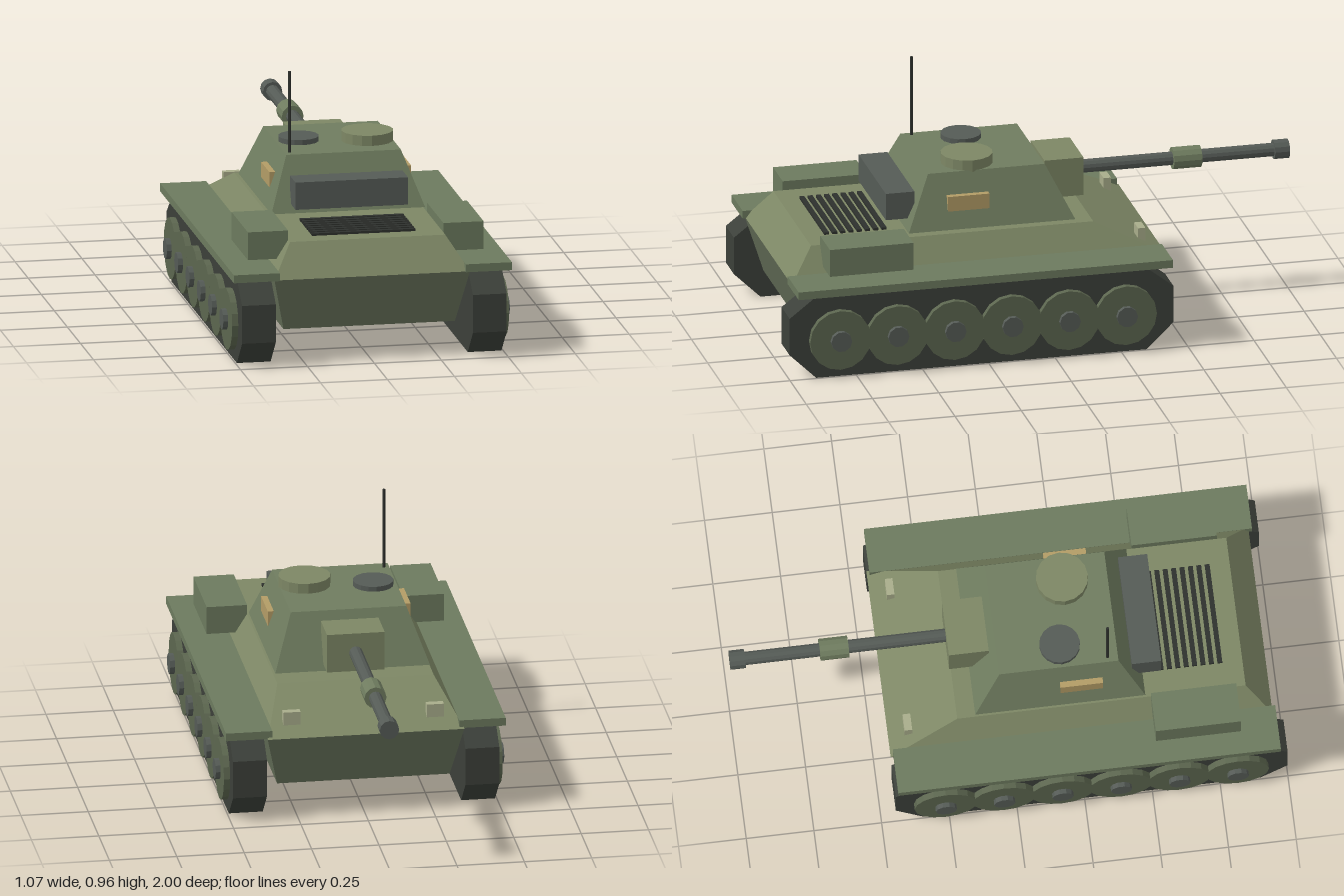
import * as THREE from 'three';

const paint = (color) => new THREE.MeshStandardMaterial({ color, flatShading: true });
const MAT = {
  hull: paint(0x7d8765), lower: paint(0x66715a), turret: paint(0x6f7c5f), fender: paint(0x6c7a5e),
  track: paint(0x3c403a), wheel: paint(0x5c664f), metal: paint(0x555b56), dark: paint(0x2e312d),
  tan: paint(0xb39c66), lamp: paint(0xa9ad8b),
};

export function createModel() {
  const model = new THREE.Group();
  model.name = 'tank';

  const add = (name, geometry, material, x = 0, y = 0, z = 0, parent = model) => {
    const mesh = new THREE.Mesh(geometry, material);
    mesh.name = name;
    mesh.position.set(x, y, z);
    parent.add(mesh);
    return mesh;
  };

  // Box given by its limits on each axis
  const block = (name, material, [x0, x1], [y0, y1], [z0, z1], parent) =>
    add(name, new THREE.BoxGeometry(x1 - x0, y1 - y0, z1 - z0), material,
      (x0 + x1) / 2, (y0 + y1) / 2, (z0 + z1) / 2, parent);

  // Block whose bottom and top rectangles differ: { y, x: half width, z: [front, rear] }
  const taperedBlock = (name, material, bottom, top) => {
    const g = new THREE.BoxGeometry(2, 2, 2);
    const p = g.attributes.position;
    for (let i = 0; i < p.count; i++) {
      const level = p.getY(i) > 0 ? top : bottom;
      p.setXYZ(i, Math.sign(p.getX(i)) * level.x, level.y, level.z[p.getZ(i) > 0 ? 1 : 0]);
    }
    g.computeVertexNormals();
    return add(name, g, material);
  };

  // Cylinder lying along z between two limits
  const rod = (name, material, radius, z0, z1, y) => {
    const g = new THREE.CylinderGeometry(radius, radius, z1 - z0, 12).rotateX(Math.PI / 2);
    return add(name, g, material, 0, y, (z0 + z1) / 2);
  };

  // Hull
  taperedBlock('lowerHull', MAT.lower,
    { y: 0.12, x: 0.32, z: [-0.38, 0.9] }, { y: 0.32, x: 0.365, z: [-0.445, 0.96] });
  taperedBlock('upperHull', MAT.hull,
    { y: 0.32, x: 0.365, z: [-0.45, 0.96] }, { y: 0.44, x: 0.29, z: [-0.195, 0.87] });

  // Engine grille slats on the rear deck
  for (let i = 0; i < 8; i++) {
    const z = 0.57 + i * 0.031;
    block('grilleSlat', MAT.dark, [-0.193, 0.193], [0.43, 0.449], [z - 0.009, z + 0.009]);
  }

  // Running gear, fender, stowage box and headlight on each side
  const trackProfile = [[0.9, 0], [1, 0.097], [1, 0.24], [0.9, 0.318],
    [-0.347, 0.318], [-0.447, 0.24], [-0.447, 0.097], [-0.347, 0]];
  const trackShape = new THREE.Shape(trackProfile.map(([z, y]) => new THREE.Vector2(-z, y)));
  const trackGeometry = new THREE.ExtrudeGeometry(trackShape, { depth: 0.126, bevelEnabled: false })
    .rotateY(Math.PI / 2);
  const wheelGeometry = new THREE.CylinderGeometry(0.115, 0.115, 0.04, 16).rotateZ(Math.PI / 2);
  const hubGeometry = new THREE.CylinderGeometry(0.039, 0.039, 0.05, 10).rotateZ(Math.PI / 2);

  for (const side of [1, -1]) {
    const label = side > 0 ? 'left' : 'right';
    const gear = new THREE.Group();
    gear.name = `${label}RunningGear`;
    model.add(gear);
    add('track', trackGeometry, MAT.track, side > 0 ? 0.368 : -0.494, 0, 0, gear);
    for (let i = 0; i < 6; i++) {
      const z = 0.813 - i * 0.2156;
      add('roadWheel', wheelGeometry, MAT.wheel, side * 0.497, 0.147, z, gear);
      add('wheelHub', hubGeometry, MAT.metal, side * 0.51, 0.147, z, gear);
    }

    const sideBlock = (name, material, x0, x1, y, z) =>
      block(label + name, material, side > 0 ? [x0, x1] : [-x1, -x0], y, z);
    sideBlock('Fender', MAT.fender, 0.347, 0.519, [0.32, 0.35], [-0.44, 0.972]);
    sideBlock('StowageBox', MAT.fender, 0.29, 0.44, [0.37, 0.475], [0.52, 0.835]);
    sideBlock('Headlight', MAT.lamp, 0.234, 0.298, [0.35, 0.4], [-0.39, -0.362]);
    sideBlock('VisionBlock', MAT.tan, 0.24, 0.265, [0.517, 0.574], [0.19, 0.347]);
  }

  // Turret
  taperedBlock('turret', MAT.turret,
    { y: 0.453, x: 0.287, z: [-0.128, 0.5] }, { y: 0.652, x: 0.214, z: [-0.03, 0.41] });
  block('turretBin', MAT.metal, [-0.21, 0.21], [0.483, 0.586], [0.46, 0.568]);
  add('cupola', new THREE.CylinderGeometry(0.096, 0.096, 0.045, 16), MAT.hull, 0.121, 0.668, 0.242);
  add('hatch', new THREE.CylinderGeometry(0.075, 0.075, 0.03, 16), MAT.metal, -0.128, 0.656, 0.203);
  add('antenna', new THREE.CylinderGeometry(0.006, 0.006, 0.317, 6), MAT.dark, -0.194, 0.799, 0.372);

  // Gun
  block('mantlet', MAT.hull, [-0.107, 0.107], [0.475, 0.622], [-0.203, -0.056]);
  rod('barrel', MAT.metal, 0.025, -0.98, -0.15, 0.547);
  rod('barrelSleeve', MAT.turret, 0.041, -0.668, -0.562, 0.547);
  rod('muzzle', MAT.metal, 0.036, -1, -0.944, 0.547);

  return model;
}
